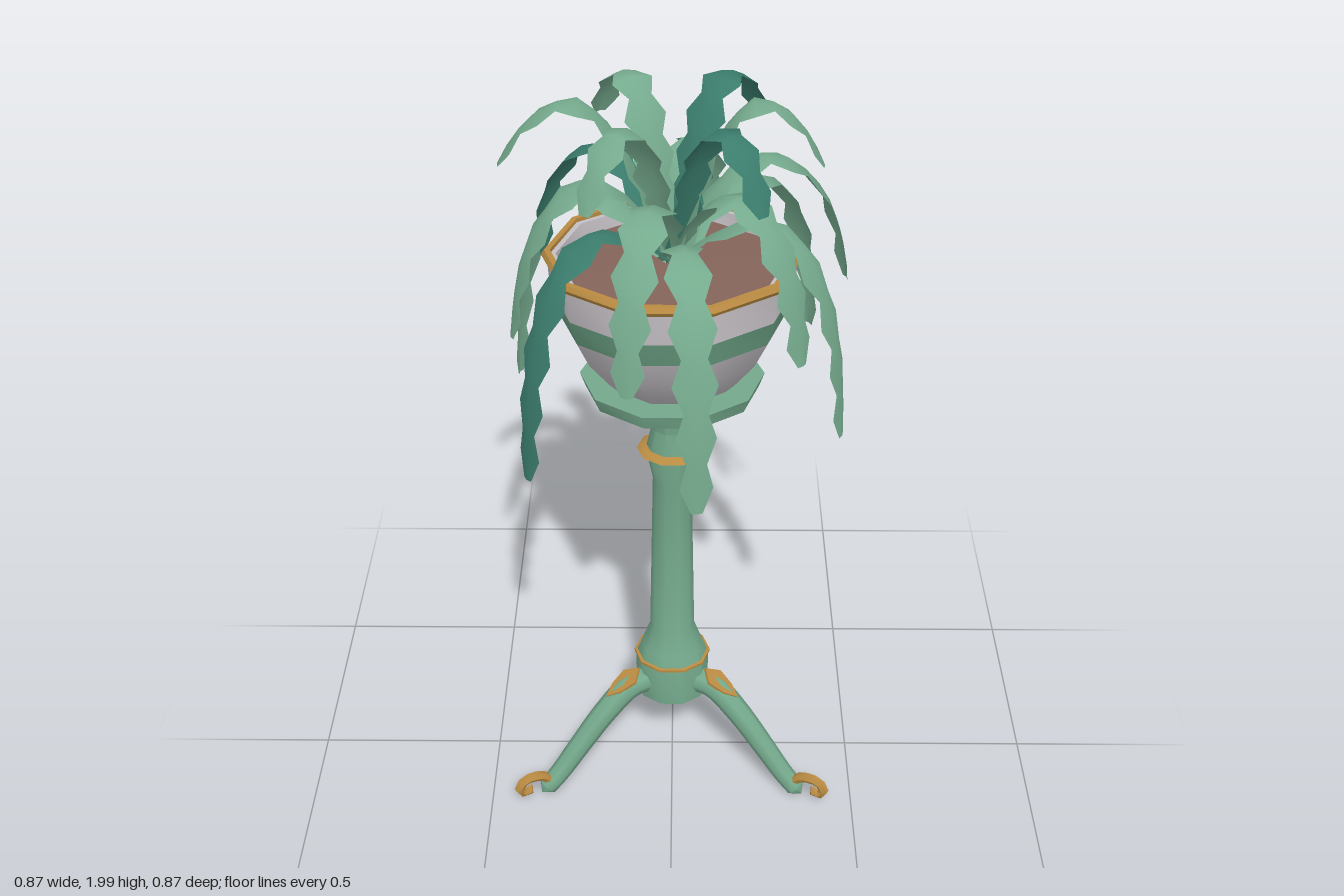
import * as THREE from 'three';
import { toCreasedNormals } from 'three/addons/utils/BufferGeometryUtils.js';

const mat = (name, color, extra = {}) => {
  const m = new THREE.MeshStandardMaterial({ color, ...extra });
  m.name = name;
  return m;
};
const V = (x, y, z = 0) => new THREE.Vector3(x, y, z);

export function createModel() {
  const model = new THREE.Group();
  model.name = 'plantStand';
  const green = mat('standGreen', 0x74a98c);
  const leafLight = mat('leafGreen', 0x76ab8e, { side: THREE.DoubleSide });
  const leafDark = mat('leafTeal', 0x3b7d6d, { side: THREE.DoubleSide });
  const white = mat('potWhite', 0xc4bfc4);
  const band = mat('bandGreen', 0x669a7e);
  const gold = mat('gold', 0xb98b42);
  const soilBrown = mat('soil', 0x84645a);

  const add = (parent, name, geo, material) => {
    const mesh = new THREE.Mesh(geo, material);
    mesh.name = name;
    parent.add(mesh);
    return mesh;
  };
  // Ten-sided turned part, smooth around and sharp at strong profile corners
  const lathe = (pts) => toCreasedNormals(
    new THREE.LatheGeometry(pts.map(([r, y]) => new THREE.Vector2(r, y)), 10).rotateY(Math.PI / 2), 0.7);

  // Tube whose radius shrinks along its length and closes at the tip
  const taperedTube = (points, steps, r, end, sides) => {
    const curve = new THREE.CatmullRomCurve3(points);
    const geo = new THREE.TubeGeometry(curve, steps, r, sides);
    const p = geo.attributes.position, v = V(0, 0);
    for (let i = 0; i < p.count; i++) {
      const ring = Math.floor(i / (sides + 1));
      const t = ring / steps, c = curve.getPointAt(t);
      v.fromBufferAttribute(p, i).sub(c);
      v.multiplyScalar(ring === steps ? 0.01 : 1 + (end - 1) * t).add(c);
      p.setXYZ(i, v.x, v.y, v.z);
    }
    return toCreasedNormals(geo, 0.95);
  };

  const stand = new THREE.Group();
  stand.name = 'stand';
  stand.scale.z = 0.92;
  stand.position.z = 0.01;
  model.add(stand);

  // Column and tray
  add(stand, 'column', lathe([[0, 0.25], [0.098, 0.25], [0.1, 0.37], [0.085, 0.41], [0.06, 0.48],
    [0.05, 0.97], [0.068, 1.06], [0.052, 1.13], [0.08, 1.235]]), green);
  add(stand, 'tray', lathe([[0, 1.232], [0.08, 1.232], [0.215, 1.25], [0.228, 1.288], [0, 1.288]]), green);
  add(stand, 'neckRing', lathe([[0.05, 1.048], [0.076, 1.054], [0.09, 1.062], [0.076, 1.07], [0.05, 1.076]]), gold);
  add(stand, 'collarRing', lathe([[0.09, 0.37], [0.104, 0.372], [0.104, 0.379], [0.09, 0.382]]), gold);

  // Pot, split at the painted band
  add(stand, 'potBottom', lathe([[0, 1.288], [0.16, 1.288], [0.185, 1.315], [0.242, 1.39], [0.274, 1.46]]), white);
  add(stand, 'potBand', lathe([[0.274, 1.46], [0.291, 1.525]]), band);
  add(stand, 'potTop', lathe([[0.291, 1.525], [0.297, 1.62], [0.275, 1.62], [0.27, 1.57]]), white);
  add(stand, 'potRim', lathe([[0.288, 1.61], [0.302, 1.606], [0.31, 1.618], [0.302, 1.63], [0.288, 1.63], [0.288, 1.61]]), gold);
  add(stand, 'soil', lathe([[0.275, 1.585], [0, 1.6]]), soilBrown);

  // Three legs with knee plates and scroll feet, built along +x
  for (const [i, [a, length]] of [[30, 1], [150, 1], [270, 0.975]].entries()) {
    const leg = new THREE.Group();
    leg.name = 'leg' + (i + 1);
    leg.rotation.y = -a * Math.PI / 180;
    leg.scale.x = length;
    stand.add(leg);
    add(leg, 'legTube', taperedTube([V(0.05, 0.3), V(0.13, 0.298), V(0.21, 0.235), V(0.3, 0.135),
      V(0.36, 0.065), V(0.42, 0.01)], 20, 0.038, 0.68, 8), green);
    const knee = new THREE.Shape();
    [[-0.035, 0], [0, 0.032], [0.05, 0.022], [0.085, 0], [0.05, -0.022], [0, -0.032]]
      .forEach(([x, y], k) => (k ? knee.lineTo(x, y) : knee.moveTo(x, y)));
    const plate = add(leg, 'kneePlate', new THREE.ExtrudeGeometry(knee, { depth: 0.009, bevelEnabled: false })
      .rotateX(-Math.PI / 2), gold);
    plate.position.set(0.132, 0.325, 0);
    plate.rotation.z = -0.55;
    add(leg, 'scrollFoot', taperedTube([V(0.39, 0.035), V(0.405, 0.065), V(0.435, 0.08), V(0.472, 0.078),
      V(0.488, 0.054), V(0.473, 0.034), V(0.452, 0.038), V(0.448, 0.056)], 9, 0.0155, 0.8, 6), gold);
  }

  // Arching leaf: toothed, creased strip following a profile in (radius, height)
  const leaf = (profile, angle, reach, tipY, width) => {
    const last = profile[profile.length - 1];
    const curve = new THREE.CatmullRomCurve3(profile.map(([r, y], i) =>
      V(r * reach / last[0], y + (tipY - last[1]) * (i / (profile.length - 1)) ** 2)));
    const N = 14, pos = [], idx = [];
    for (let i = 0; i <= N; i++) {
      const t = i / N, c = curve.getPointAt(t), d = curve.getTangentAt(t);
      const envelope = 0.55 + 0.45 * Math.sin(Math.PI * Math.min(1, t * 0.85 + 0.1));
      const w = i === N ? 0.014 : width * envelope * (i % 2 ? 1 : 0.55);
      // Edges sink away from the upper face to form the crease
      const nx = d.y * w * 0.25, ny = -d.x * w * 0.25;
      pos.push(c.x + nx, c.y + ny, -w, c.x, c.y, 0, c.x + nx, c.y + ny, w);
      if (i < N) {
        for (const k of [3 * i, 3 * i + 1]) idx.push(k, k + 1, k + 3, k + 1, k + 4, k + 3);
      }
    }
    const geo = new THREE.BufferGeometry();
    geo.setAttribute('position', new THREE.Float32BufferAttribute(pos, 3));
    geo.setIndex(idx);
    geo.rotateY(-angle * Math.PI / 180);
    geo.computeVertexNormals();
    return geo;
  };

  // Tiers of six: [angle, reach, tip height, dark]
  const tiers = [
    { name: 'lowLeaf', width: 0.056,
      profile: [[0, 1.6], [0.1, 1.69], [0.2, 1.74], [0.3, 1.7], [0.375, 1.57], [0.415, 1.39], [0.43, 1.19]],
      leaves: [[22, 0.445, 1.21], [82, 0.435, 1.17], [142, 0.44, 1.15, 1], [202, 0.425, 1.18], [262, 0.42, 1.26], [322, 0.45, 1.26]] },
    { name: 'middleLeaf', width: 0.057,
      profile: [[0, 1.6], [0.08, 1.74], [0.17, 1.825], [0.26, 1.825], [0.355, 1.73], [0.405, 1.61], [0.43, 1.47]],
      leaves: [[43, 0.41, 1.48], [104, 0.415, 1.47], [162, 0.4, 1.46], [216, 0.42, 1.47, 1], [286, 0.355, 1.47], [341, 0.455, 1.47]] },
    { name: 'topLeaf', width: 0.056,
      profile: [[0, 1.6], [0.05, 1.76], [0.11, 1.915], [0.19, 2], [0.26, 1.985], [0.32, 1.925], [0.36, 1.85]],
      leaves: [[-2, 0.35, 1.84], [53, 0.335, 1.85, 1], [126, 0.325, 1.85], [179, 0.4, 1.85], [238, 0.335, 1.85], [307, 0.355, 1.85, 1]] },
  ];
  const plant = new THREE.Group();
  plant.name = 'plant';
  model.add(plant);
  for (const { name, width, profile, leaves } of tiers) {
    for (const [i, [a, reach, tipY, dark]] of leaves.entries()) {
      add(plant, name + (i + 1), leaf(profile, a, reach, tipY, width), dark ? leafDark : leafLight);
    }
  }
  return model;
}
